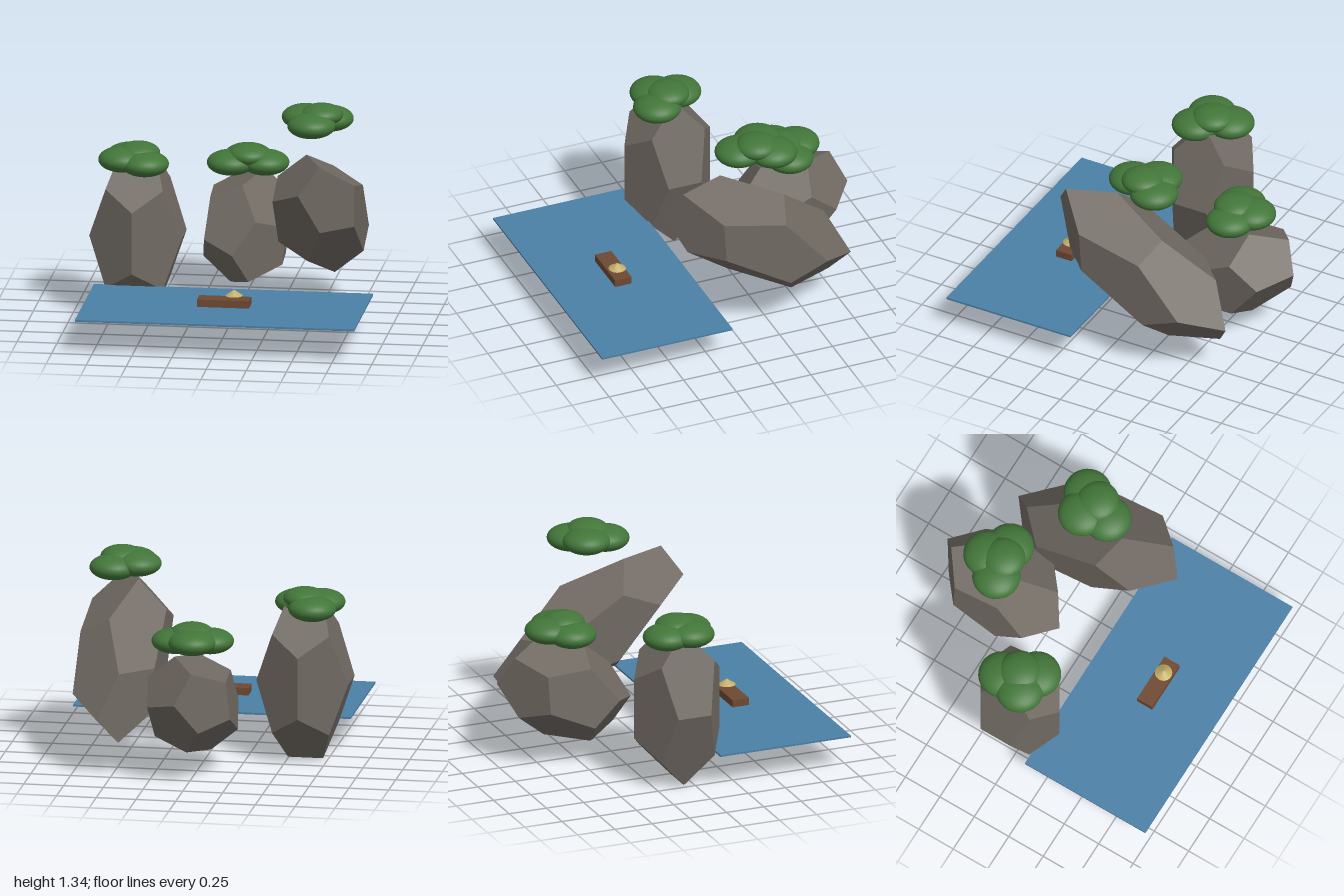
import * as THREE from 'three';

const material = (name, color, flatShading = false) => {
  const m = new THREE.MeshStandardMaterial({ color, flatShading });
  m.name = name;
  return m;
};

export function createModel() {
  const model = new THREE.Group();
  model.name = 'riverLandscape';

  const stone = material('stone', 0x706962, true);
  const leaf = material('leaf', 0x427639);
  const waterBlue = material('waterBlue', 0x4b80a6);
  const wood = material('wood', 0x6e4932);
  const straw = material('straw', 0xc4ae69);

  const add = (parent, name, geometry, mat, x, y, z) => {
    const mesh = new THREE.Mesh(geometry, mat);
    mesh.name = name;
    mesh.position.set(x, y, z);
    parent.add(mesh);
    return mesh;
  };

  // Upright stone: a stretched dodecahedron
  const upright = new THREE.DodecahedronGeometry(1).scale(0.31, 0.546, 0.308);
  add(model, 'leftRock', upright, stone, -0.605, 0.51, -0.063);

  // Leaning stones: a dodecahedron with one face turned to +x, then sheared along three axes
  const leaningRock = (name, position, ax, ay, az) => {
    const g = new THREE.DodecahedronGeometry(1).rotateZ(-Math.atan(2 / (1 + Math.sqrt(5))));
    g.applyMatrix4(new THREE.Matrix4().makeBasis(
      new THREE.Vector3(...ax), new THREE.Vector3(...ay), new THREE.Vector3(...az)));
    g.computeVertexNormals();
    add(model, name, g, stone, ...position);
  };
  leaningRock('middleRock', [0.015, 0.45, -0.5625],
    [-0.108, 0.118, 0.319], [-0.226, 0.174, -0.27], [-0.19, -0.274, 0.13]);
  leaningRock('rightRock', [0.52, 0.64, -0.185],
    [0.3146, 0, 0], [0, 0.439, 0.521], [0, -0.141, 0.347]);

  // Tree crowns: three flattened balls with a smaller one on top
  const crown = (name, blobs) => {
    const group = new THREE.Group();
    group.name = name;
    blobs.forEach(([x, y, z], i) => {
      const top = i === 3;
      const r = top ? 0.135 : 0.15;
      const ball = add(group, top ? 'topFoliage' : 'foliage',
        new THREE.SphereGeometry(1, 32, 20), leaf, x, y, z);
      ball.scale.set(r, top ? 0.067 : 0.077, r);
    });
    model.add(group);
  };
  crown('leftCrown', [
    [-0.664, 0.98, -0.155], [-0.695, 0.99, -0.01], [-0.55, 0.975, 0.027], [-0.603, 1.023, -0.065]]);
  crown('middleCrown', [
    [0, 0.865, -0.67], [-0.09, 0.85, -0.55], [0.12, 0.85, -0.58], [0.02, 0.898, -0.565]]);
  crown('rightCrown', [
    [0.42, 1.243, -0.24], [0.562, 1.225, -0.285], [0.475, 1.225, -0.09], [0.525, 1.273, -0.19]]);

  // Water sheet
  add(model, 'water', new THREE.BoxGeometry(1.745, 0.012, 0.875), waterBlue, 0.0175, 0.214, 0.5625);

  // Raft and the straw hat above it
  add(model, 'raft', new THREE.BoxGeometry(0.325, 0.047, 0.11), wood, 0.0175, 0.251, 0.56);
  add(model, 'strawHat', new THREE.ConeGeometry(0.054, 0.037, 32), straw, 0.08, 0.313, 0.56);

  return model;
}
